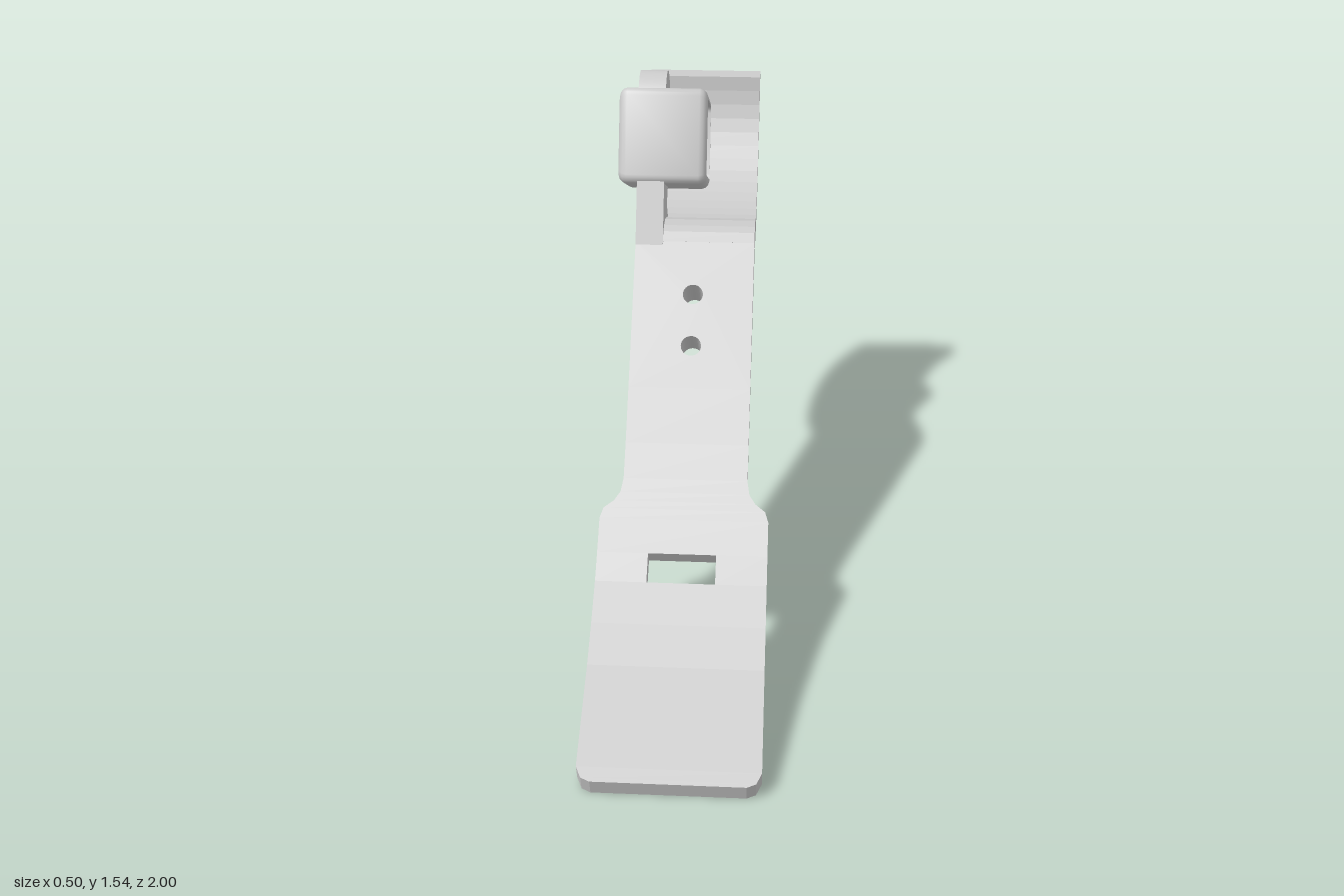
import * as THREE from 'three';
import { toCreasedNormals } from 'three/addons/utils/BufferGeometryUtils.js';

const flat = new THREE.MeshStandardMaterial({ color: 0xcccccc, flatShading: true });
const smooth = new THREE.MeshStandardMaterial({ color: 0xcccccc });

// Joins a row of equal-length point rings into a skin, with optional flat ends
function loft(rings, caps = true) {
  const out = [];
  const tri = (...pts) => pts.forEach((p) => out.push(...p));
  const n = rings[0].length;
  for (let i = 0; i + 1 < rings.length; i++) {
    const r = rings[i], q = rings[i + 1];
    for (let k = 0; k < n; k++) {
      const m = (k + 1) % n;
      tri(r[k], r[m], q[m]);
      tri(r[k], q[m], q[k]);
    }
  }
  if (caps) {
    const a = rings[0], b = rings[rings.length - 1];
    for (let k = 1; k + 1 < n; k++) {
      tri(a[0], a[k + 1], a[k]);
      tri(b[0], b[k], b[k + 1]);
    }
  }
  const g = new THREE.BufferGeometry();
  g.setAttribute('position', new THREE.Float32BufferAttribute(out, 3));
  g.computeVertexNormals();
  return g;
}

// Station: [top z, top y, bottom z, bottom y, half width]
const strip = (stations, x0 = null, x1 = null) =>
  loft(stations.map(([zt, yt, zb, yb, w]) => {
    const l = x0 ?? -w, r = x1 ?? w;
    return [[l, yt, zt], [r, yt, zt], [r, yb, zb], [l, yb, zb]];
  }));

// Side profile given as (-z, y), extruded from x0 to x1
function sideExtrude(shape, x0, x1) {
  const g = new THREE.ExtrudeGeometry(shape, { depth: x1 - x0, bevelEnabled: false, curveSegments: 12 });
  return g.translate(0, 0, x0).rotateY(Math.PI / 2);
}

// Flat panel in (x, s) with the two bolt holes; rule(x, s, isBottom) places each vertex
function drilledPanel(halfWidth, s0, s1, rule) {
  const shape = new THREE.Shape([[-halfWidth, s0], [halfWidth, s0], [halfWidth, s1], [-halfWidth, s1]]
    .map((p) => new THREE.Vector2(...p)));
  for (const s of [0.135, 0.3]) {
    shape.holes.push(new THREE.Path().absarc(0, s, 0.031, 0, Math.PI * 2, true));
  }
  const g = new THREE.ExtrudeGeometry(shape, { depth: 1, bevelEnabled: false, curveSegments: 20 });
  const p = g.attributes.position;
  for (let i = 0; i < p.count; i++) p.setXYZ(i, ...rule(p.getX(i), p.getY(i), p.getZ(i) < 0.5));
  g.computeVertexNormals();
  return g.rotateX(-0.727).translate(0, 0.728, 0);
}

// Rounded square outline, counter-clockwise
function roundedSquare(half) {
  const pts = [], r = half * 0.17;
  for (let c = 0; c < 4; c++) {
    for (let k = 0; k <= 4; k++) {
      const a = (c + k / 4) * Math.PI / 2, m = (c + 0.5) * Math.PI / 2;
      pts.push([
        Math.sign(Math.cos(m)) * (half - r) + r * Math.cos(a),
        Math.sign(Math.sin(m)) * (half - r) + r * Math.sin(a)]);
    }
  }
  return pts;
}

export function createModel() {
  const model = new THREE.Group();
  const add = (name, geometry, material = flat, parent = model) => {
    const mesh = new THREE.Mesh(geometry, material);
    mesh.name = name;
    parent.add(mesh);
    return mesh;
  };

  // Curved foot pad with a slot, narrowing into the stem
  const foot = [
    [1.0, 0.06, 0.98, 0.005, 0.21],
    [0.99, 0.064, 0.97, 0.009, 0.235],
    [0.96, 0.076, 0.94, 0.021, 0.25],
    [0.667, 0.19, 0.645, 0.14, 0.25],
    [0.55, 0.25, 0.525, 0.203, 0.25],
    [0.436, 0.316, 0.41, 0.27, 0.25],
    [0.365, 0.37, 0.335, 0.325, 0.25],
    [0.285, 0.437, 0.255, 0.395, 0.25],
    [0.262, 0.459, 0.232, 0.415, 0.24],
    [0.245, 0.475, 0.215, 0.43, 0.21],
    [0.225, 0.494, 0.195, 0.449, 0.192],
    [0.195, 0.523, 0.16, 0.481, 0.185],
    [0.115, 0.6, 0.08, 0.565, 0.185],
    [0, 0.728, -0.043, 0.69, 0.185],
  ];
  const pad = new THREE.Group();
  pad.name = 'footPad';
  model.add(pad);
  add('padTip', strip(foot.slice(0, 6)), flat, pad);
  add('padSlotSideRight', strip(foot.slice(5, 7), -0.25, -0.1), flat, pad);
  add('padSlotSideLeft', strip(foot.slice(5, 7), 0.1, 0.25), flat, pad);
  add('padNeck', strip(foot.slice(6)), flat, pad);

  // Straight stem, thickening upward
  add('stem', drilledPanel(0.185, 0, 0.471, (x, s, bottom) =>
    [x, s, bottom ? -(0.057 + 0.122 * s) : 0]));

  // Tapered boss under the stem
  add('stemBoss', drilledPanel(0.165, -0.056, 0.535, (x, s, bottom) => {
    if (!bottom) return [x, s, -0.045];
    const t = s < 0 ? 0.037 : s;
    return [Math.abs(x) > 0.1 ? x * 0.75 : x, t, -(0.117 + 0.118 * t)];
  }));

  // Hook: crest, then a quarter-round cradle
  const hook = [
    [-0.313, 1.08, -0.398, 1.004, 0.185],
    [-0.34, 1.103, -0.41, 1.014, 0.185],
    [-0.367, 1.113, -0.425, 1.021, 0.185],
    [-0.42, 1.113, -0.46, 1.02, 0.185],
    [-0.474, 1.098, -0.49, 1.011, 0.185],
  ];
  for (let deg = -7.5; deg <= 90; deg += 7.5) {
    const a = deg * Math.PI / 180, s = Math.sin(a), c = Math.cos(a);
    hook.push([-0.57 - 0.355 * s, 1.43 - 0.355 * c, -0.57 - 0.43 * s, 1.43 - 0.43 * c, 0.185]);
  }
  add('hook', strip(hook));

  // Arm carrying the housing
  const arm = new THREE.Shape([[0.30, 1.06], [0.56, 1.05], [0.535, 1.085], [0.515, 1.1], [0.508, 1.125],
    [0.515, 1.15], [0.535, 1.168], [0.56, 1.175], [0.55, 1.25], [0.45, 1.33], [0.39, 1.26]]
    .map((p) => new THREE.Vector2(...p)));
  add('arm', sideExtrude(arm, -0.185, -0.1));

  // Square housing, open on its left side, with a bored floor
  const housing = new THREE.Group();
  housing.name = 'housing';
  housing.position.set(0, 1.325, -0.57);
  model.add(housing);
  const tilt = -0.407;
  const rings = [[-0.245, 0.125], [-0.241, 0.136], [-0.232, 0.144], [-0.22, 0.148], [0.005, 0.148],
    [0.017, 0.144], [0.026, 0.136], [0.03, 0.125], [0.03, 0.118], [-0.101, 0.118]]
    .map(([x, half]) => roundedSquare(half).map(([a, b]) => [a, b, x]));
  add('housingShell', toCreasedNormals(loft(rings, false), 0.6).rotateZ(tilt).rotateY(Math.PI / 2),
    smooth, housing);
  const floor = new THREE.Shape(roundedSquare(0.125).map((p) => new THREE.Vector2(...p)));
  floor.holes.push(new THREE.Path().absarc(0, 0, 0.043, 0, Math.PI * 2, true));
  add('housingFloor', sideExtrude(floor, -0.245, -0.1).rotateX(tilt), flat, housing);

  // Rounded knuckle on top of the housing
  const knuckle = add('knuckle',
    toCreasedNormals(new THREE.CylinderGeometry(0.107, 0.107, 0.085, 32).rotateZ(Math.PI / 2), 0.6), smooth);
  knuckle.position.set(-0.1435, 1.436, -0.582);

  return model;
}
